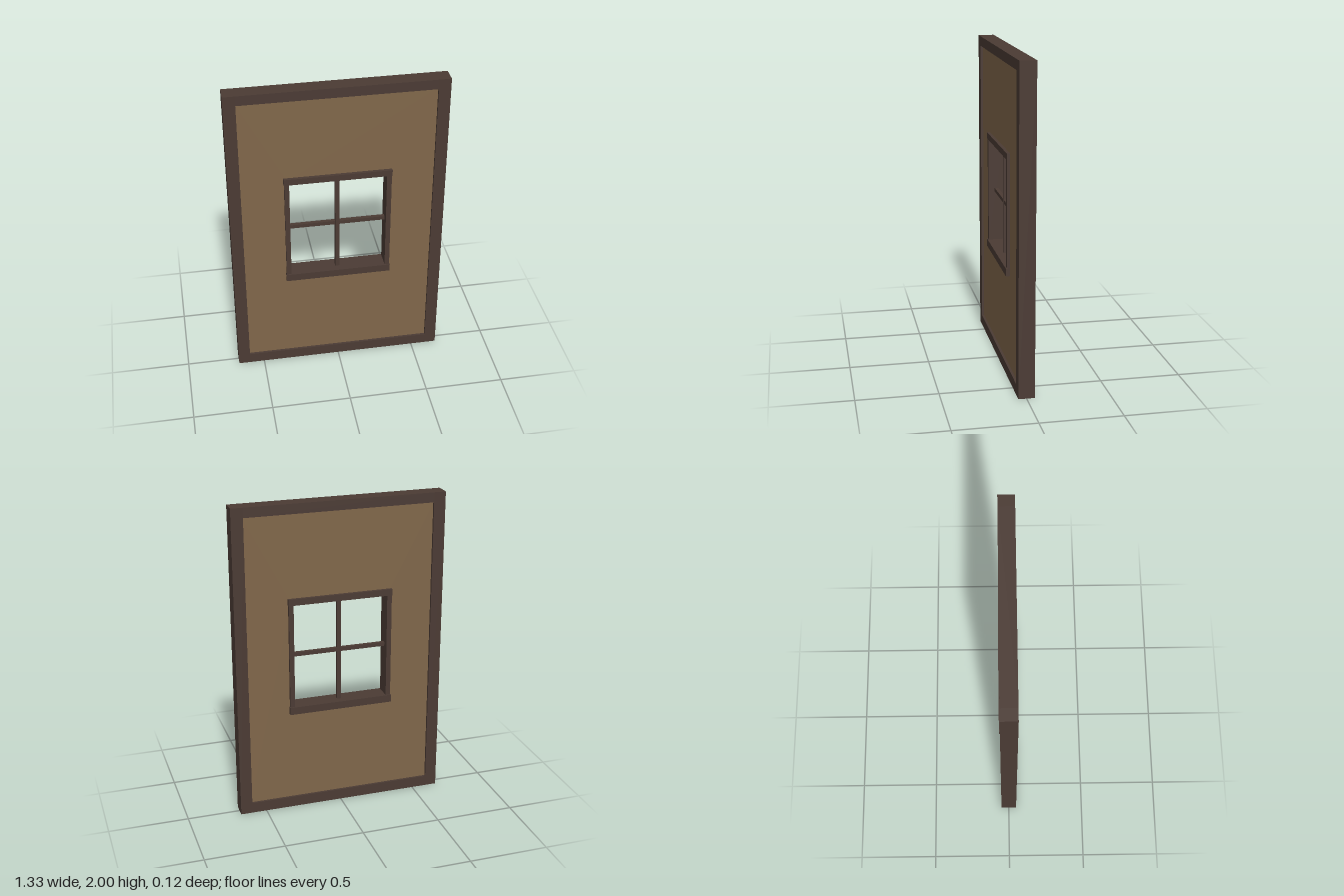
import * as THREE from 'three';

export function createModel() {
  const model = new THREE.Group();
  const darkWood = new THREE.MeshStandardMaterial({ color: 0x4b3b34 });
  darkWood.name = 'darkWood';
  const plaster = new THREE.MeshStandardMaterial({ color: 0x80674a });
  plaster.name = 'tanPlaster';

  // Box given by its x and y limits and its full depth, centred on z = 0
  function beam(parent, name, x0, x1, y0, y1, depth) {
    const mesh = new THREE.Mesh(new THREE.BoxGeometry(x1 - x0, y1 - y0, depth), darkWood);
    mesh.position.set((x0 + x1) / 2, (y0 + y1) / 2, 0);
    mesh.name = name;
    parent.add(mesh);
  }

  function group(name) {
    const g = new THREE.Group();
    g.name = name;
    model.add(g);
    return g;
  }

  // Recessed wall panel with the window opening cut through
  const wall = new THREE.Shape([[-0.6, 0.06], [0.6, 0.06], [0.6, 1.945], [-0.6, 1.945]]
    .map(([x, y]) => new THREE.Vector2(x, y)));
  wall.holes.push(new THREE.Path([[-0.31, 0.69], [-0.31, 1.39], [0.31, 1.39], [0.31, 0.69]]
    .map(([x, y]) => new THREE.Vector2(x, y))));
  const panelGeometry = new THREE.ExtrudeGeometry(wall, { depth: 0.07, bevelEnabled: false });
  panelGeometry.translate(0, 0, -0.035);
  const panel = new THREE.Mesh(panelGeometry, plaster);
  panel.name = 'wallPanel';
  model.add(panel);

  // Outer timber frame
  const frame = group('outerFrame');
  beam(frame, 'rightPost', -0.667, -0.593, 0, 2, 0.1);
  beam(frame, 'leftPost', 0.593, 0.667, 0, 2, 0.1);
  beam(frame, 'bottomBeam', -0.593, 0.593, 0, 0.068, 0.1);
  beam(frame, 'topBeam', -0.593, 0.593, 1.938, 2, 0.1);

  // Window casing: the sill and lintel stand proud of the side jambs
  const casing = group('windowCasing');
  beam(casing, 'rightJamb', -0.33, -0.3, 0.703, 1.373, 0.104);
  beam(casing, 'leftJamb', 0.3, 0.33, 0.703, 1.373, 0.104);
  beam(casing, 'sill', -0.333, 0.333, 0.655, 0.703, 0.12);
  beam(casing, 'lintel', -0.333, 0.333, 1.373, 1.413, 0.11);

  // Crossing glazing bars
  const bars = group('glazingBars');
  beam(bars, 'uprightBar', -0.013, 0.013, 0.703, 1.373, 0.026);
  beam(bars, 'crossBar', -0.3, 0.3, 1.026, 1.05, 0.024);

  return model;
}
